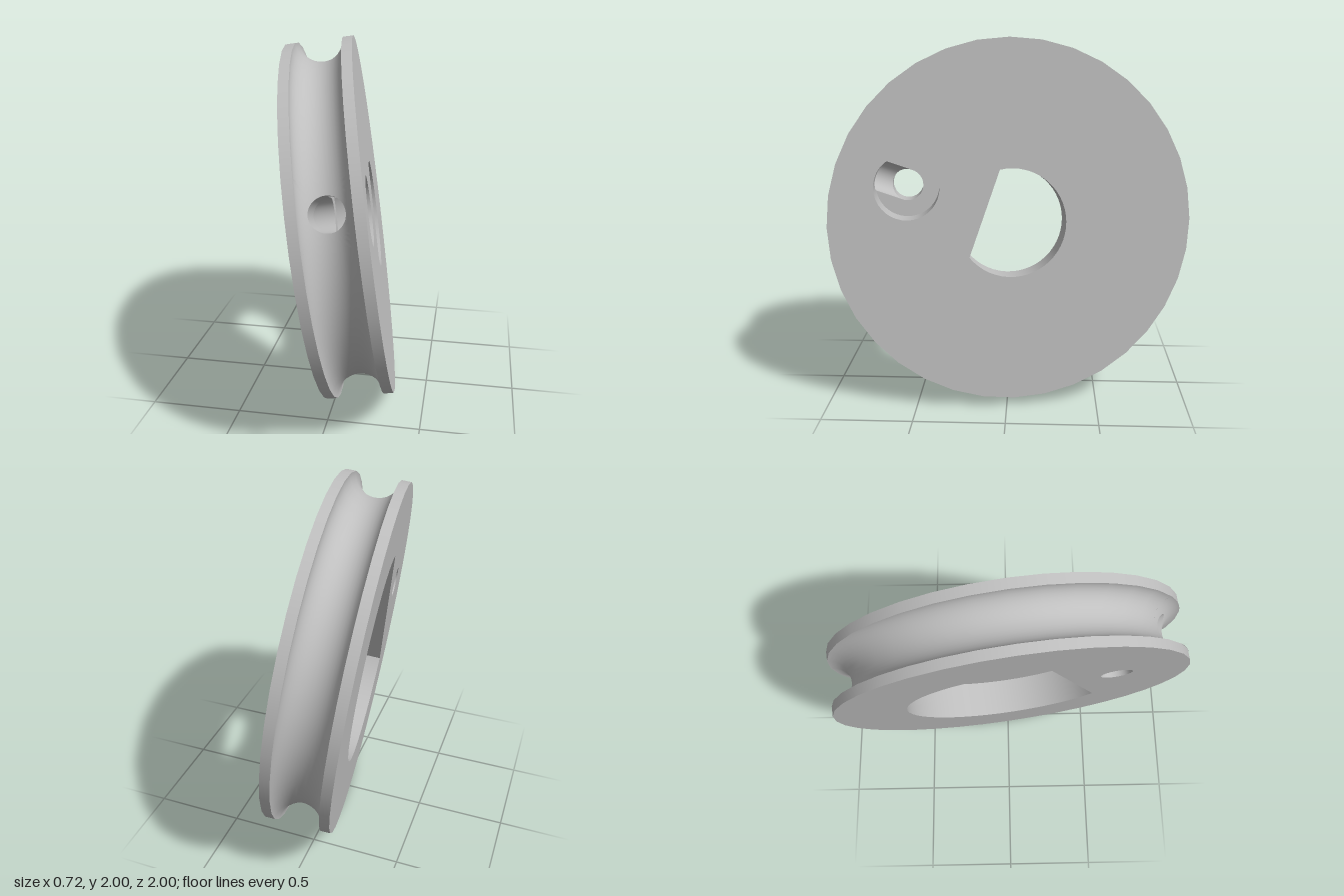
import * as THREE from 'three';
import { ParametricGeometry } from 'three/addons/geometries/ParametricGeometry.js';

// Pulley in its own frame: axle along z, cord hole along +x
const R = 0.985, T = 0.178;               // rim radius, half thickness
const GW = 0.125, GD = 0.118;             // groove half width and depth
const BORE = { r: 0.297, d: 0.157 };      // D-shaped bore: radius, distance of the flat
const RECESS = { r: 0.59, d: 0.355 };     // D-shaped recess on the other face
const FLOOR = 0.03;                       // recess floor
const HX = 0.596, KNOT = 0.175, HOLE = 0.086; // knot pocket centre and radius, cord hole radius
const TAU = Math.PI * 2, WINDOW = Math.PI / 18;

export function createModel() {
  const metal = new THREE.MeshStandardMaterial({ color: 0xbfbfbf, side: THREE.DoubleSide });
  metal.name = 'grey metal';
  const pulley = new THREE.Group();
  pulley.name = 'pulley';

  const add = (name, geometry, z = 0) => {
    const mesh = new THREE.Mesh(geometry, metal);
    mesh.name = name;
    mesh.position.z = z;
    pulley.add(mesh);
  };
  const surface = (name, nu, nv, fn) =>
    add(name, new ParametricGeometry((u, v, p) => p.set(...fn(u, v)), nu, nv));
  const lerp = THREE.MathUtils.lerp;
  const half = (r, y) => Math.sqrt(Math.max(0, r * r - y * y));

  const circle = (x, r, Type = THREE.Path) => new Type().absarc(x, 0, r, 0, TAU, false);
  const dShape = ({ r, d }, Type = THREE.Path) => {
    const a = Math.acos(d / r);
    const path = new Type().absarc(0, 0, r, a, TAU - a, false);
    path.closePath();
    return path;
  };
  const plate = (name, z, shape, ...holes) => {
    shape.holes.push(...holes);
    add(name, new THREE.ShapeGeometry(shape, 18), z);
  };

  // Flat faces and recess floor
  plate('boreFace', T, circle(0, R, THREE.Shape), dShape(BORE), circle(HX, KNOT));
  plate('recessFace', -T, circle(0, R, THREE.Shape), dShape(RECESS), circle(HX, HOLE));
  plate('recessFloor', FLOOR, dShape(RECESS, THREE.Shape), dShape(BORE));

  // Walls of the two D-shaped openings
  const dWall = (name, { r, d }, z0, z1) => {
    const a = Math.acos(d / r), h = half(r, d);
    surface(name + 'Wall', 36, 1, (u, v) => {
      const t = lerp(a, TAU - a, u);
      return [r * Math.cos(t), r * Math.sin(t), lerp(z1, z0, v)];
    });
    surface(name + 'Flat', 1, 1, (u, v) => [d, lerp(-h, h, u), lerp(z1, z0, v)]);
  };
  dWall('bore', BORE, FLOOR, T);
  dWall('recess', RECESS, -T, FLOOR);

  // Rim bands on both sides of the groove
  for (const [name, z0] of [['recessSideRim', -T], ['boreSideRim', GW]])
    surface(name, 36, 1, (u, v) =>
      [R * Math.cos(u * TAU), R * Math.sin(u * TAU), z0 + v * (T - GW)]);

  // Round groove, with a window left open for the cord hole
  const grooveRadius = psi => R - GD * Math.cos(psi);
  const groove = (phi, psi) => {
    const rho = grooveRadius(psi);
    return [rho * Math.cos(phi), rho * Math.sin(phi), GW * Math.sin(psi)];
  };
  surface('groove', 34, 16, (u, v) =>
    groove(lerp(WINDOW, TAU - WINDOW, u), (v - 0.5) * Math.PI));

  // Groove patch running from the cord hole out to the window
  surface('grooveAroundHole', 48, 8, (u, v) => {
    const c = Math.cos(u * TAU), s = Math.sin(u * TAU);
    const m = Math.max(Math.abs(c), Math.abs(s));
    const psi = Math.asin(HOLE * s / GW);
    const phi = Math.asin(HOLE * c / grooveRadius(psi));
    return groove(lerp(WINDOW * c / m, phi, v), lerp(Math.PI / 2 * s / m, psi, v));
  });

  // Cord hole: upper half starts at the knot pocket, lower half at the small hole
  const cordHole = (name, side, startRadius) => surface(name, 24, 4, (u, v) => {
    const y = HOLE * Math.cos(u * Math.PI), z = side * HOLE * Math.sin(u * Math.PI);
    const rho = grooveRadius(Math.asin(z / GW));
    return [lerp(HX + half(startRadius, y), half(rho, y), v), y, z];
  });
  cordHole('cordHoleUpper', 1, KNOT);
  cordHole('cordHoleLower', -1, HOLE);

  // Knot pocket wall, cut by the cord hole
  surface('knotPocketWall', 96, 1, (u, v) => {
    const x = KNOT * Math.cos(u * TAU), y = KNOT * Math.sin(u * TAU);
    return [HX + x, y, lerp(T, x > 0 ? half(HOLE, y) : 0, v)];
  });

  // Small through hole, cut by the cord hole
  surface('smallHoleWall', 48, 1, (u, v) => {
    const x = HOLE * Math.cos(u * TAU), y = HOLE * Math.sin(u * TAU);
    return [HX + x, y, lerp(x > 0 ? -half(HOLE, y) : 0, -T, v)];
  });

  // Pocket floor around the small hole and the open trough
  const a = Math.asin(HOLE / KNOT);
  const floor = new THREE.Shape();
  floor.absarc(HX, 0, KNOT, a, TAU - a, false);
  floor.lineTo(HX, -HOLE);
  floor.absarc(HX, 0, HOLE, Math.PI * 1.5, Math.PI / 2, true);
  floor.closePath();
  plate('knotPocketFloor', 0, floor);

  // Tilt the axle and stand the pulley on the ground
  const n = new THREE.Vector3(0.982, 0.133, -0.133).normalize();
  const up = new THREE.Vector3(0, 1, 0).addScaledVector(n, -n.y).normalize();
  const front = new THREE.Vector3().crossVectors(n, up);
  const turn = THREE.MathUtils.degToRad(20);
  const ex = front.multiplyScalar(Math.cos(turn)).addScaledVector(up, Math.sin(turn));
  const ey = new THREE.Vector3().crossVectors(n, ex);
  pulley.quaternion.setFromRotationMatrix(new THREE.Matrix4().makeBasis(ex, ey, n));
  pulley.position.y = 1;

  const model = new THREE.Group();
  model.name = 'tiltedPulley';
  model.add(pulley);
  return model;
}
